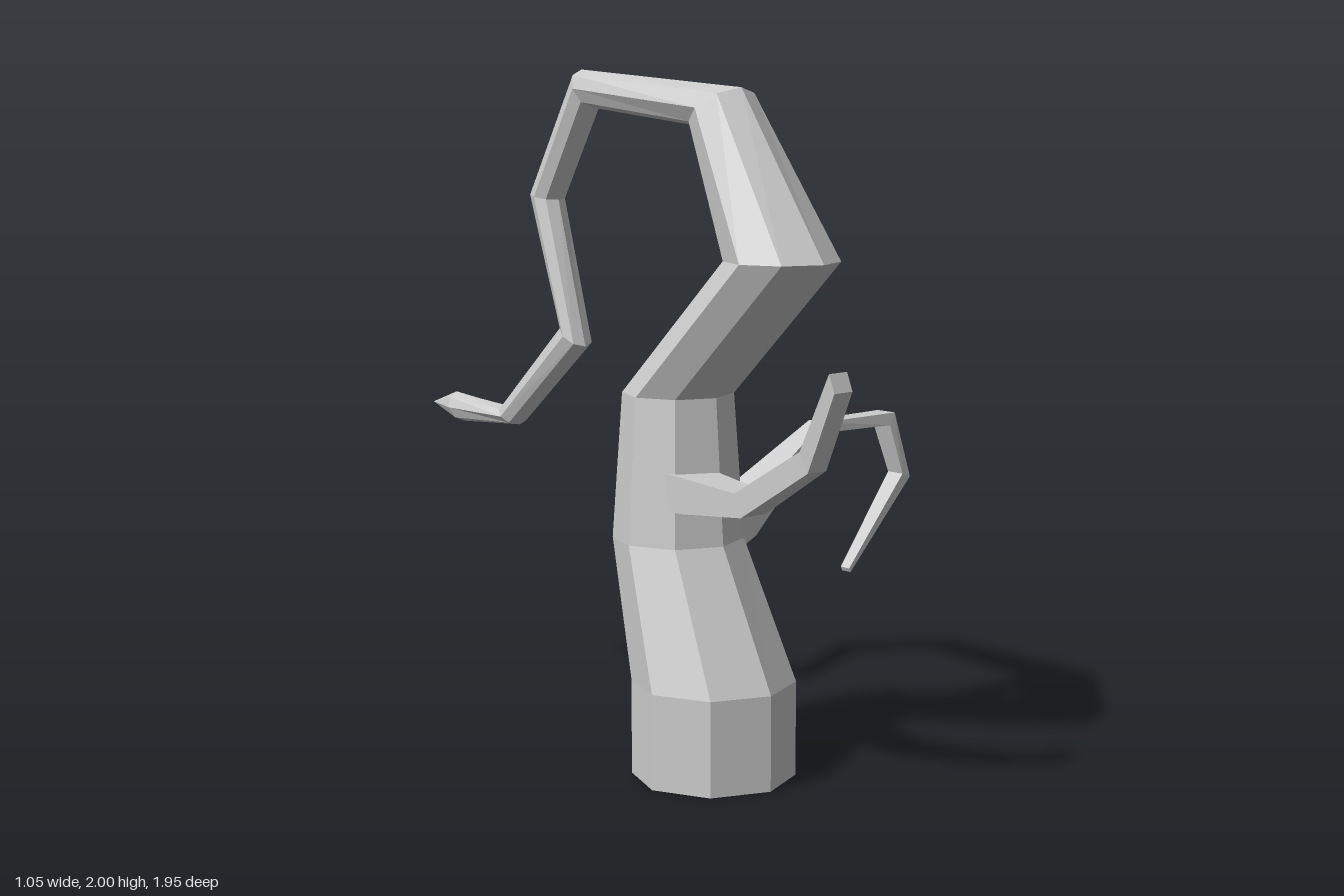
import * as THREE from 'three';

const V = (x, y, z) => new THREE.Vector3(x, y, z);

// Ring of n corners spanning from outer to inner point, with half-width vector w
function ring(outer, inner, w, n) {
  const c = outer.clone().add(inner).multiplyScalar(0.5);
  const u = outer.clone().sub(c);
  const phase = n === 4 ? Math.PI / 4 : 0;
  const s = n === 4 ? Math.SQRT2 : 1; // four-sided rings reach the full extents
  return Array.from({ length: n }, (_, i) => {
    const t = phase + (i / n) * Math.PI * 2;
    return c.clone().addScaledVector(u, s * Math.cos(t)).addScaledVector(w, s * Math.sin(t));
  });
}

// Skin through the rings, with both ends capped
function loft(name, rings, material) {
  const n = rings[0].length, last = rings.length - 1;
  const index = [];
  for (let r = 0; r < last; r++) {
    for (let i = 0; i < n; i++) {
      const a = r * n + i, b = r * n + (i + 1) % n;
      index.push(a, b, b + n, a, b + n, a + n);
    }
  }
  for (let i = 1; i < n - 1; i++) {
    index.push(0, i + 1, i);
    index.push(last * n, last * n + i, last * n + i + 1);
  }
  const indexed = new THREE.BufferGeometry().setFromPoints(rings.flat());
  indexed.setIndex(index);
  const geometry = indexed.toNonIndexed();
  geometry.computeVertexNormals();
  const mesh = new THREE.Mesh(geometry, material);
  mesh.name = name;
  return mesh;
}

export function createModel() {
  const group = new THREE.Group();
  group.name = 'twistedTree';
  const bark = new THREE.MeshStandardMaterial({ color: 0xcccccc, flatShading: true });

  // Trunk curling over into a pointed tip: outer z, y, inner z, y, half-width
  const trunk = [
    [0.585, 0, 0.115, 0, 0.235],
    [0.585, 0.275, 0.115, 0.275, 0.235],
    [0.39, 0.67, 0.01, 0.67, 0.188],
    [0.36, 1.09, 0.04, 1.09, 0.16],
    [0.78, 1.49, 0.46, 1.49, 0.16],
    [0.46, 1.955, 0.3, 1.845, 0.1],
    [-0.22, 2.0, -0.17, 1.89, 0.055],
    [-0.435, 1.63, -0.33, 1.615, 0.052],
    [-0.3, 1.245, -0.21, 1.185, 0.05],
    [-0.6, 0.965, -0.53, 0.915, 0.047],
    [-0.85, 0.985, -0.81, 0.895, 0.046],
    [-0.97, 0.941, -0.97, 0.939, 0.001],
  ].map(([oz, oy, iz, iy, w]) => ring(V(-0.292, oy, oz), V(-0.292, iy, iz), V(w, 0, 0), 8));
  group.add(loft('trunk', trunk, bark));

  // Drooping side branch: outer x, y, inner x, y, then z range
  const side = [
    [-0.24, 0.72, -0.22, 0.62, 0.19, 0.34],
    [-0.11, 0.785, -0.11, 0.67, 0.2, 0.335],
    [0.18, 0.967, 0.19, 0.935, 0.257, 0.315],
    [0.46, 0.972, 0.44, 0.935, 0.275, 0.345],
    [0.52, 0.77, 0.487, 0.782, 0.295, 0.355],
    [0.268, 0.508, 0.262, 0.52, 0.315, 0.35],
  ].map(([ox, oy, ix, iy, z0, z1]) => {
    const z = (z0 + z1) / 2;
    return ring(V(ox, oy, z), V(ix, iy, z), V(0, 0, (z1 - z0) / 2), 4);
  });
  group.add(loft('leftBranch', side, bark));

  // Rising front branch: outer z, y, inner z, y, then x range
  const front = [
    [0.25, 0.775, 0.25, 0.885, -0.425, -0.285],
    [0.37, 0.778, 0.37, 0.88, -0.43, -0.293],
    [0.605, 0.8, 0.58, 0.865, -0.43, -0.335],
    [0.86, 0.955, 0.83, 1.01, -0.43, -0.36],
    [0.975, 1.18, 0.955, 1.23, -0.45, -0.383],
  ].map(([oz, oy, iz, iy, x0, x1]) => {
    const x = (x0 + x1) / 2;
    return ring(V(x, oy, oz), V(x, iy, iz), V((x1 - x0) / 2, 0, 0), 4);
  });
  group.add(loft('frontBranch', front, bark));

  return group;
}
